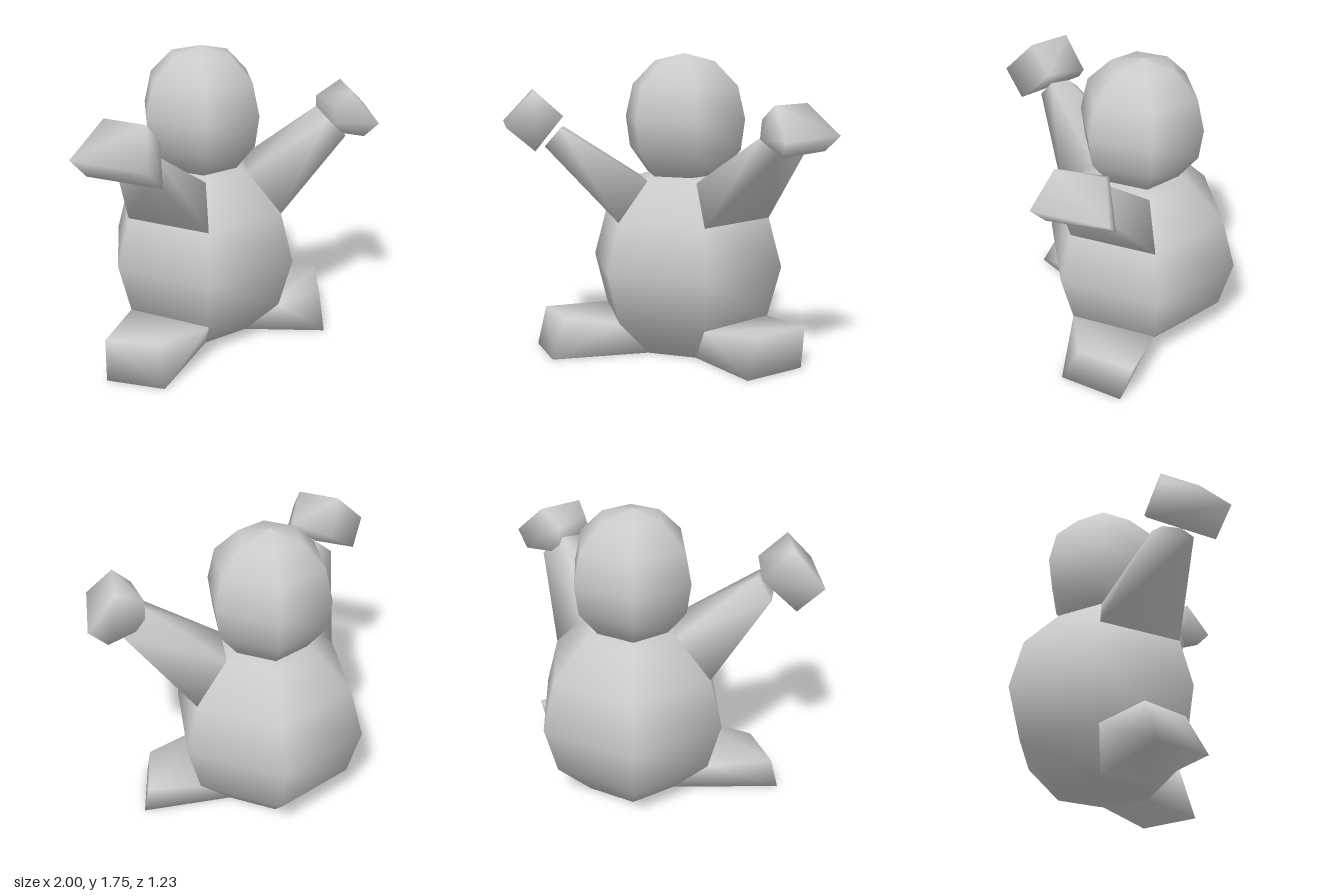
import * as THREE from 'three';
import { ConvexGeometry } from 'three/addons/geometries/ConvexGeometry.js';
import { mergeVertices } from 'three/addons/utils/BufferGeometryUtils.js';

const material = new THREE.MeshStandardMaterial({ color: 0xcccccc });
const CX = 0.03, CZ = -0.105;

// Six-sided turned form with corners pointing left and right.
function turned(name, profile, x) {
  const points = profile.map(([r, y]) => new THREE.Vector2(r, y));
  const mesh = new THREE.Mesh(new THREE.LatheGeometry(points, 6, Math.PI / 2), material);
  mesh.position.set(x, 0, CZ);
  mesh.name = name;
  return mesh;
}

// Smooth-shaded hull around a few corners.
function hull(name, corners) {
  const geometry = new ConvexGeometry(corners.map((p) => new THREE.Vector3(...p)));
  geometry.deleteAttribute('normal');
  const smooth = mergeVertices(geometry, 1e-4);
  smooth.computeVertexNormals();
  const mesh = new THREE.Mesh(smooth, material);
  mesh.name = name;
  return mesh;
}

// Body facet between the side and front corners, where a limb grows out.
function root(side, rings) {
  return rings.flatMap(([r, y]) => [0, Math.PI / 3].map(
    (a) => [CX + side * r * Math.cos(a), y, CZ + r * Math.sin(a)]));
}

export function createModel() {
  const group = new THREE.Group();

  // Torso and head
  group.add(turned('body', [[0, 0], [0.295, 0], [0.51, 0.22], [0.59, 0.52],
    [0.51, 0.81], [0.295, 1.03], [0.2, 1.06], [0, 1.06]], CX));
  group.add(turned('head', [[0, 1.04], [0.23, 1.05], [0.345, 1.2], [0.37, 1.38],
    [0.325, 1.57], [0.185, 1.71], [0, 1.755]], 0.022));

  // Limbs: end corners of each leg and arm, and the corners of each hand
  const limbs = [
    {
      label: 'left', side: 1,
      foot: [[0.8, 0.22, 0.06], [0.6, 0.22, 0.34], [0.795, 0, 0.13], [0.565, 0, 0.44]],
      wrist: [[0.8, 1.23, 0.18], [0.69, 1.23, 0.41], [0.6, 1.33, 0.35], [0.65, 1.36, 0.18]],
      hand: [[1, 1.335, 0.21], [0.785, 1.33, 0.58], [0.69, 1.505, 0.44], [0.815, 1.505, 0.2],
        [0.61, 1.425, 0.38], [0.665, 1.42, 0.165], [0.61, 1.325, 0.42], [0.67, 1.26, 0.165],
        [0.91, 1.245, 0.165], [0.75, 1.24, 0.5], [0.69, 1.225, 0.3]],
    },
    {
      label: 'right', side: -1,
      foot: [[-0.79, 0.22, 0.13], [-0.57, 0.22, 0.34], [-0.82, 0, 0.19], [-0.6, 0, 0.45]],
      wrist: [[-0.71, 1.24, 0.18], [-0.64, 1.24, 0.41], [-0.57, 1.34, 0.35], [-0.6, 1.34, 0.24]],
      hand: [[-1, 1.36, 0.22], [-0.775, 1.36, 0.61], [-0.545, 1.41, 0.36], [-0.8, 1.55, 0.23],
        [-0.68, 1.55, 0.45], [-0.64, 1.225, 0.53], [-0.87, 1.225, 0.15], [-0.665, 1.37, 0.14]],
    },
  ];
  for (const { label, side, foot, wrist, hand } of limbs) {
    group.add(hull(`${label}Leg`, [...root(side, [[0.295, 0], [0.51, 0.22]]), ...foot]));
    group.add(hull(`${label}Arm`, [...root(side, [[0.51, 0.81], [0.295, 1.03]]), ...wrist]));
    group.add(hull(`${label}Hand`, hand));
  }
  return group;
}
